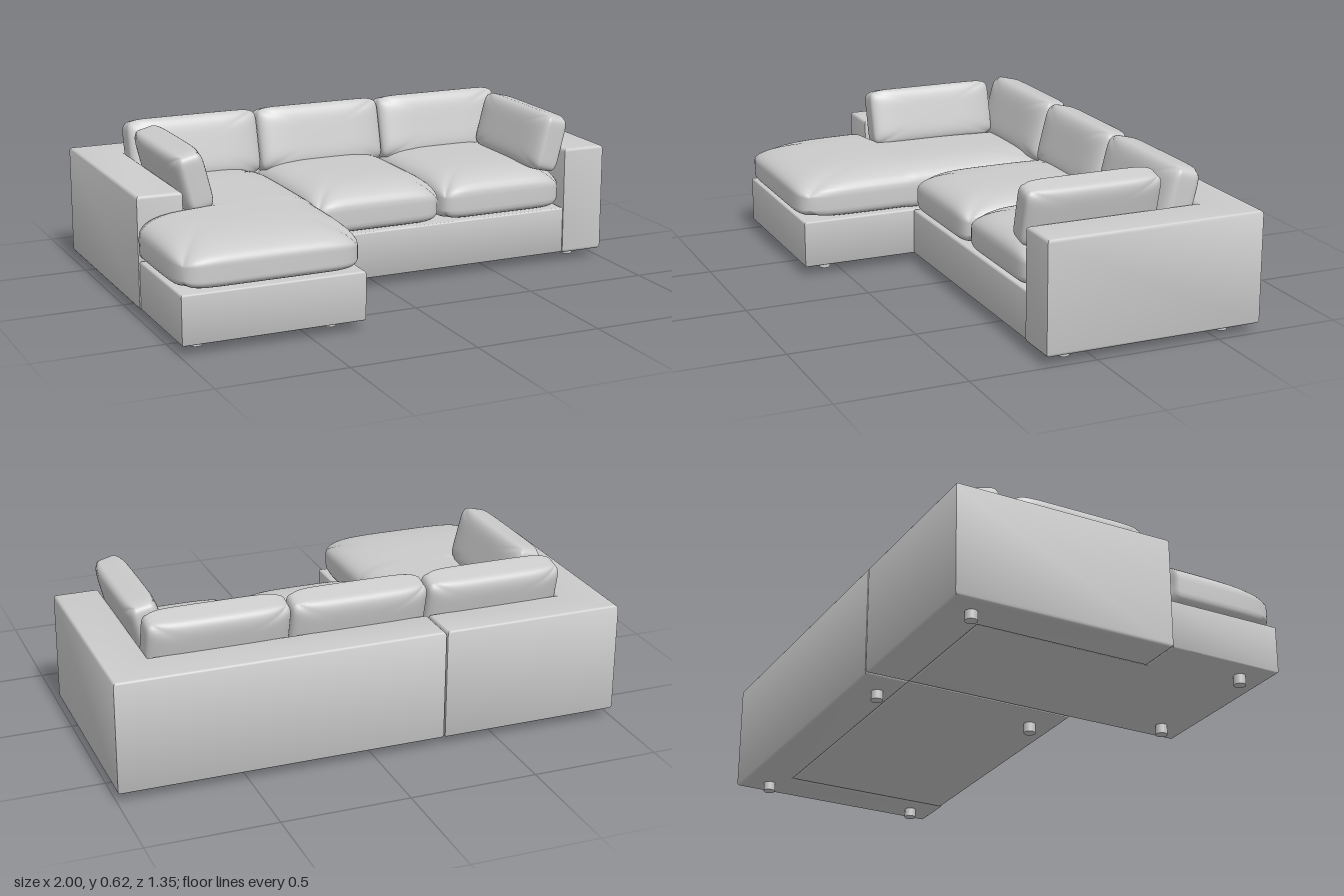
import * as THREE from 'three';
import { mergeVertices, toCreasedNormals } from 'three/addons/utils/BufferGeometryUtils.js';

const material = new THREE.MeshStandardMaterial({ color: 0xcccccc });

function addMesh(parent, name, geometry) {
  const mesh = new THREE.Mesh(geometry, material);
  mesh.name = name;
  parent.add(mesh);
  return mesh;
}

// Solid block from a plan outline of [x, z] corners, with softened top and bottom edges
function planBlock(outline, y0, y1, bevel) {
  const shape = new THREE.Shape(outline.map(([x, z]) => new THREE.Vector2(x, z)));
  const geometry = new THREE.ExtrudeGeometry(shape, {
    depth: y1 - y0 - 2 * bevel, bevelEnabled: true, bevelThickness: bevel,
    bevelSize: bevel, bevelOffset: -bevel, bevelSegments: 4,
  });
  geometry.rotateX(Math.PI / 2).translate(0, y1 - bevel, 0);
  return toCreasedNormals(geometry, 0.7);
}

// Stuffed cushion lying flat: a seam band at the rim, bulging above and below it
function cushionGeometry(width, depth, { band, top, bottom, topPower = 4, bottomPower = 12, segZ = 32, warp }) {
  let geometry = new THREE.BoxGeometry(2, 2, 2, 32, 1, segZ);
  geometry.deleteAttribute('normal');
  geometry.deleteAttribute('uv');
  geometry = mergeVertices(geometry);
  const position = geometry.attributes.position;
  const n = 10;
  for (let i = 0; i < position.count; i++) {
    const s = Math.sin(position.getX(i) * Math.PI / 2);
    const t = Math.sin(position.getZ(i) * Math.PI / 2);
    const side = Math.sign(position.getY(i));
    const power = side > 0 ? topPower : bottomPower;
    const bulge = (v) => Math.pow(Math.max(0, 1 - Math.pow(Math.abs(v), power)), 0.4);
    const y = side * (band + (side > 0 ? top : bottom) * bulge(s) * bulge(t));
    // Round the corners in plan
    const a = Math.abs(s), b = Math.abs(t);
    const k = Math.max(a, b) / Math.max(1e-6, Math.pow(a ** n + b ** n, 1 / n));
    const z = t * k * depth / 2;
    let x = s * k * width / 2;
    if (warp) x = warp(x, z);
    position.setXYZ(i, x, y, z);
  }
  geometry.computeVertexNormals();
  return geometry;
}

// Upright cushion whose face looks along +z of its holder and leans back
function leaningCushion(parent, name, width, height, thickness, place, turn) {
  const holder = new THREE.Group();
  holder.name = name;
  holder.position.set(...place);
  holder.rotation.y = turn;
  const bulge = thickness / 2 - 0.028;
  const mesh = addMesh(holder, name + 'Body', cushionGeometry(width, height, {
    band: 0.028, top: bulge, bottom: bulge, topPower: 5, bottomPower: 5,
  }));
  mesh.rotation.x = Math.PI / 2 - 0.25;
  parent.add(holder);
}

export function createModel() {
  const sofa = new THREE.Group();
  sofa.name = 'sectionalSofa';
  const back = -0.673, backIn = -0.495, armFront = 0.2, armIn = 0.82, out = 0.998;

  // L-shaped back and arm of each section
  addMesh(sofa, 'mainBackAndArm', planBlock([
    [-0.277, back], [out, back], [out, armFront], [armIn, armFront], [armIn, backIn], [-0.277, backIn],
  ], 0.035, 0.475, 0.014));
  addMesh(sofa, 'chaiseBackAndArm', planBlock([
    [-0.283, back], [-0.283, backIn], [-armIn, backIn], [-armIn, armFront], [-out, armFront], [-out, back],
  ], 0.035, 0.475, 0.014));

  // Seat bases
  addMesh(sofa, 'mainBase', planBlock([
    [-0.277, backIn], [armIn, backIn], [armIn, 0.194], [-0.277, 0.194],
  ], 0.038, 0.228, 0.008));
  addMesh(sofa, 'chaiseBase', planBlock([
    [-0.283, backIn], [-0.283, 0.662], [-0.994, 0.662], [-0.994, 0.202], [-armIn, 0.202], [-armIn, backIn],
  ], 0.038, 0.228, 0.008));

  // Seat cushions
  const seat = { band: 0.025, top: 0.09, bottom: 0.044 };
  for (const [x0, x1] of [[-0.279, 0.27], [0.27, 0.818]]) {
    addMesh(sofa, 'seatCushion', cushionGeometry(x1 - x0, 0.7, seat)).position.set((x0 + x1) / 2, 0.295, -0.15);
  }
  // Chaise cushion narrows beside the arm
  const chaiseWidth = 0.718, chaiseZ = 0.087;
  addMesh(sofa, 'chaiseCushion', cushionGeometry(chaiseWidth, 1.174, {
    ...seat, segZ: 72,
    warp: (x, z) => z + chaiseZ > armFront ? x : chaiseWidth / 2 + (x - chaiseWidth / 2) * 0.75,
  })).position.set(-0.64, 0.295, chaiseZ);

  // Back cushions
  for (const [x0, x1] of [[-0.83, -0.281], [-0.276, 0.266], [0.27, 0.822]]) {
    leaningCushion(sofa, 'backCushion', x1 - x0, 0.266, 0.152, [(x0 + x1) / 2, 0.484, -0.432], 0);
  }
  // Arm cushions
  for (const side of [-1, 1]) {
    leaningCushion(sofa, 'armCushion', 0.545, 0.236, 0.132, [side * 0.762, 0.499, -0.072], -side * Math.PI / 2);
  }

  // Feet
  const footGeometry = new THREE.CylinderGeometry(0.023, 0.023, 0.042, 24);
  for (const [x, z] of [
    [0.905, -0.565], [0.905, 0.09], [-0.15, -0.565], [-0.15, 0.09],
    [-0.905, -0.565], [-0.905, 0.55], [-0.38, 0.55],
  ]) {
    addMesh(sofa, 'foot', footGeometry).position.set(x, 0.021, z);
  }
  return sofa;
}
